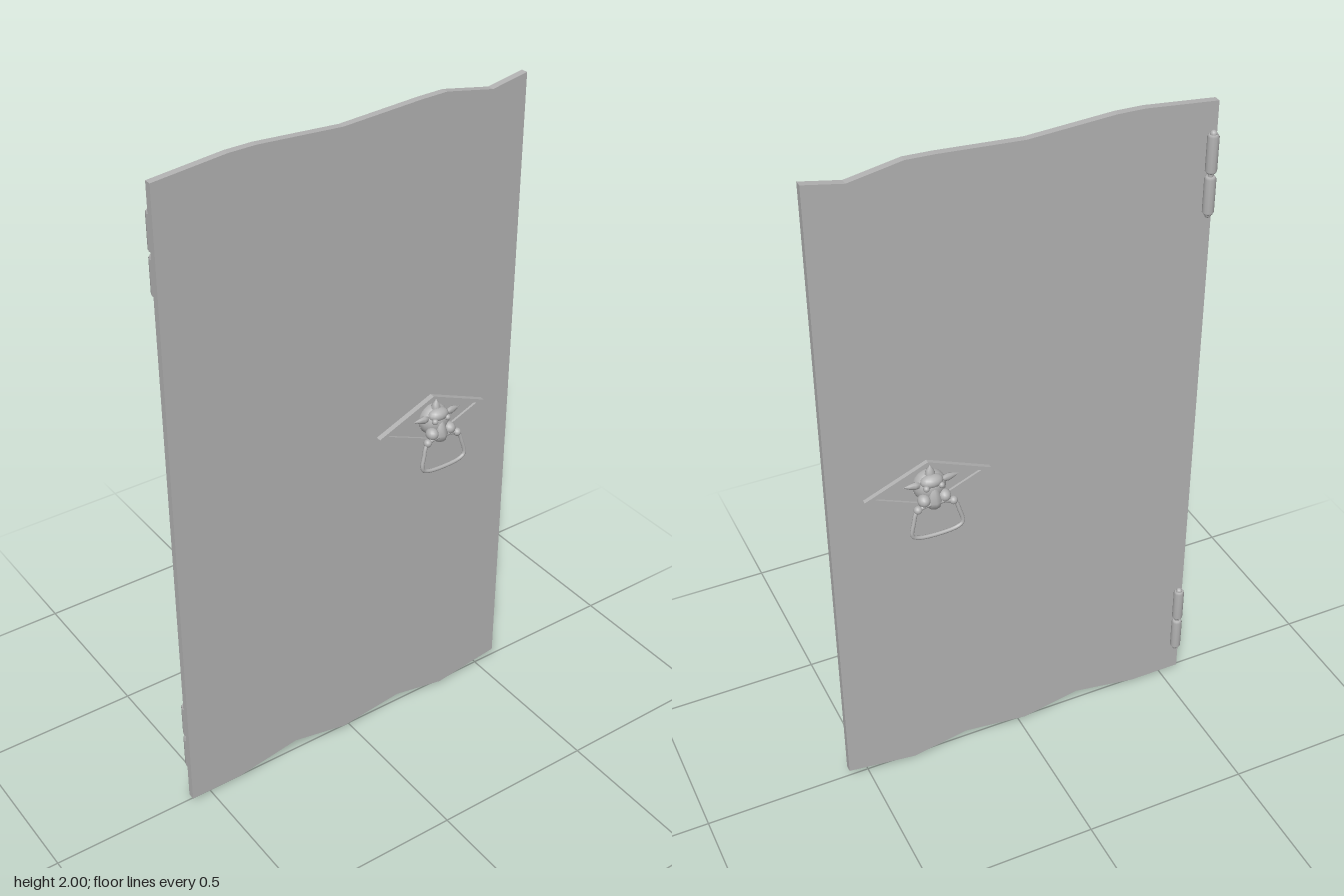
import * as THREE from 'three';

const metal = new THREE.MeshStandardMaterial({ color: 0xb2b2b2 });
metal.name = 'plain grey';

function add(parent, name, geometry, x = 0, y = 0, z = 0) {
  const mesh = new THREE.Mesh(geometry, metal);
  mesh.name = name;
  mesh.position.set(x, y, z);
  parent.add(mesh);
  return mesh;
}

// Shape drawn as (-z, y), thickened along +x
function slab(shape, depth) {
  return new THREE.ExtrudeGeometry(shape, { depth, bevelEnabled: false }).rotateY(Math.PI / 2);
}

const outline = (pts) => pts.map(([a, b]) => new THREE.Vector2(a, b));
const diamond = (s) => outline([[-0.185 * s, 0], [0, -0.077 * s], [0.185 * s, 0], [0, 0.077 * s]]);

// Pointed leaf running from one point to another, flattened along the door
function leaf(parent, name, from, to, width, thick) {
  const a = new THREE.Vector3(...from), b = new THREE.Vector3(...to);
  const dir = b.clone().sub(a), len = dir.length();
  const profile = outline([[0, 0], [0.75, 0.12], [1, 0.35], [0.6, 0.7], [0, 1]]);
  const mesh = add(parent, name, new THREE.LatheGeometry(profile, 8), ...from);
  const up = dir.normalize();
  const side = new THREE.Vector3(1, 0, 0).cross(up).normalize();
  const out = side.clone().cross(up);
  mesh.quaternion.setFromRotationMatrix(new THREE.Matrix4().makeBasis(out, up, side));
  mesh.scale.set(thick, len, width);
}

function ball(parent, name, r, pos, scale) {
  const mesh = add(parent, name, new THREE.SphereGeometry(r, 16, 10), ...pos);
  mesh.scale.set(...scale);
}

// Knocker facing +x: diamond plate, leafy animal head and hanging ring
function createKnocker() {
  const g = new THREE.Group();
  g.name = 'knocker';
  add(g, 'backPlate', slab(new THREE.Shape(diamond(0.95)), 0.018));
  const rim = new THREE.Shape(diamond(1));
  rim.holes.push(new THREE.Path(diamond(0.84).reverse()));
  add(g, 'plateRim', slab(rim, 0.025));

  ball(g, 'head', 0.05, [0.025, 0.005, 0], [0.85, 0.95, 0.95]);
  ball(g, 'brow', 0.03, [0.046, 0.03, 0], [0.75, 0.65, 1.1]);
  leaf(g, 'muzzle', [0.058, -0.058, 0], [0.06, 0.03, 0], 0.024, 0.022);
  leaf(g, 'crest', [0.035, 0.03, 0], [0.04, 0.075, 0], 0.016, 0.014);
  for (const s of [-1, 1]) {
    ball(g, 'cheek', 0.02, [0.06, -0.018, s * 0.03], [1, 0.9, 0.9]);
    ball(g, 'eye', 0.009, [0.062, 0.02, s * 0.022], [1, 1, 1]);
    leaf(g, 'ear', [0.045, 0.025, s * 0.03], [0.055, 0.065, s * 0.08], 0.016, 0.009);
    leaf(g, 'upperLeaf', [0.025, 0, s * 0.03], [0.04, 0.04, s * 0.13], 0.017, 0.012);
    leaf(g, 'middleLeaf', [0.022, -0.01, s * 0.03], [0.038, 0.005, s * 0.11], 0.018, 0.012);
    leaf(g, 'lowerLeaf', [0.03, -0.03, s * 0.015], [0.045, -0.045, s * 0.08], 0.016, 0.012);
    ball(g, 'ringJoint', 0.012, [0.07, -0.036, s * 0.052], [1, 1, 1]);
  }

  const half = [[0.07, -0.038, 0.052], [0.075, -0.075, 0.068], [0.078, -0.112, 0.074], [0.078, -0.125, 0.055]];
  const mirrored = half.map(([x, y, z]) => [x, y, -z]).reverse();
  const path = new THREE.CatmullRomCurve3(
    [...half, ...mirrored].map((p) => new THREE.Vector3(...p)), true);
  add(g, 'ring', new THREE.TubeGeometry(path, 48, 0.006, 8, true));
  return g;
}

// Two-part hinge barrel with end knobs
function createHinge() {
  const g = new THREE.Group();
  g.name = 'hinge';
  const barrel = outline([[0, -0.055], [0.012, -0.055], [0.016, -0.049], [0.016, 0.049], [0.012, 0.055], [0, 0.055]]);
  for (const s of [-1, 1]) {
    add(g, 'hingeBarrel', new THREE.LatheGeometry(barrel, 12), 0, s * 0.06, 0);
    add(g, 'hingeKnob', new THREE.SphereGeometry(0.01, 10, 8), 0, s * 0.116, 0);
    add(g, 'hingeLeaf', new THREE.BoxGeometry(0.02, 0.1, 0.006), 0.012, s * 0.06, 0.014);
  }
  add(g, 'hingePin', new THREE.CylinderGeometry(0.007, 0.007, 0.24, 10));
  return g;
}

export function createModel() {
  const model = new THREE.Group();
  model.name = 'door';

  // Panel with uneven top and bottom edges
  const edge = outline([
    [-0.562, 0.01], [-0.4, 0.01], [-0.2, 0.045], [-0.02, 0.01], [0.18, 0.036], [0.35, 0.003], [0.562, 0.034],
    [0.562, 1.993], [0.45, 1.972], [0.3, 2], [0.22, 1.998], [-0.02, 1.984], [-0.27, 2], [-0.35, 1.999], [-0.562, 1.978],
  ]);
  add(model, 'doorPanel', slab(new THREE.Shape(edge), 0.021), -0.012, 0, 0);

  // Matching knockers on both faces
  for (const turn of [0, Math.PI]) {
    const knocker = createKnocker();
    knocker.position.set(0, 1.032, -0.276);
    knocker.rotation.y = turn;
    model.add(knocker);
  }

  for (const y of [1.78, 0.228]) {
    const hinge = createHinge();
    hinge.position.set(-0.026, y, 0.543);
    model.add(hinge);
  }
  return model;
}
